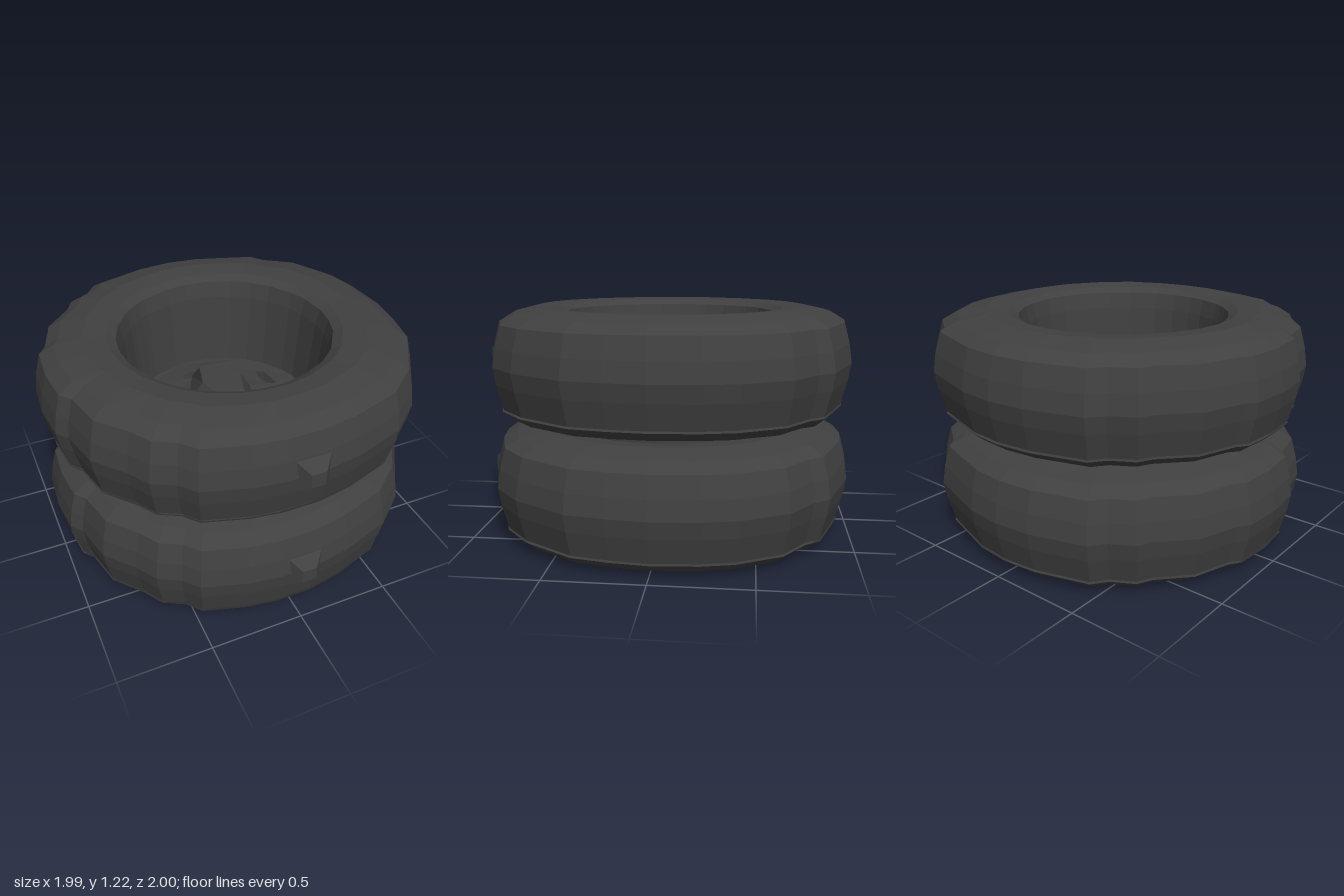
import * as THREE from 'three';

const rubber = new THREE.MeshStandardMaterial({ color: 0x404040, flatShading: true, side: THREE.DoubleSide });

// Uneven plan outline of the worn tread, as [x, z]
const OUTLINE = [
  [0.99, 0], [0.97, 0.2], [0.93, 0.4], [0.75, 0.68], [0.57, 0.83], [0.3, 0.92], [0.1, 0.955], [-0.1, 0.955],
  [-0.27, 0.93], [-0.5, 0.86], [-0.57, 0.78], [-0.68, 0.72], [-0.75, 0.61], [-0.88, 0.46], [-0.93, 0.25],
  [-0.98, 0.19], [-1, -0.02], [-0.985, -0.23], [-0.94, -0.29], [-0.87, -0.5], [-0.72, -0.66], [-0.68, -0.74],
  [-0.56, -0.81], [-0.5, -0.89], [-0.2, -0.98], [0, -1], [0.2, -0.98], [0.45, -0.9], [0.57, -0.86],
  [0.63, -0.78], [0.8, -0.66], [0.93, -0.42], [0.97, -0.25],
];

// Ring of a given radius: round near the bore, following the outline near the tread
function ring(r, y) {
  const t = THREE.MathUtils.clamp((r - 0.58) / 0.3, 0, 1);
  return OUTLINE.map(([x, z]) => {
    const k = THREE.MathUtils.lerp(1 / Math.hypot(x, z), 1, t) * r;
    return [x * k, y, z * k];
  });
}

// Skin a stack of closed rings
function loft(rings) {
  const n = rings[0].length, index = [];
  for (let j = 0; j < rings.length - 1; j++) {
    for (let i = 0; i < n; i++) {
      const a = j * n + i, b = j * n + (i + 1) % n;
      index.push(a, a + n, b, b, a + n, b + n);
    }
  }
  const geo = new THREE.BufferGeometry();
  geo.setAttribute('position', new THREE.Float32BufferAttribute(rings.flat(2), 3));
  geo.setIndex(index);
  geo.computeVertexNormals();
  return geo;
}

// Horizontal plate from [x, z] corners, with optional holes
function plate(points, y, holes = []) {
  const v = (list) => list.map(([x, z]) => new THREE.Vector2(x, -z));
  const shape = new THREE.Shape(v(points));
  shape.holes = holes.map((h) => new THREE.Path(v(h)));
  return new THREE.ShapeGeometry(shape).rotateX(-Math.PI / 2).translate(0, y, 0);
}

const flat = (points) => points.map(([x, , z]) => [x, z]);
const lift = (points, y) => points.map(([x, z]) => [x, y, z]);

function add(group, name, geometry) {
  const mesh = new THREE.Mesh(geometry, rubber);
  mesh.name = name;
  group.add(mesh);
  return mesh;
}

function makeTyre() {
  const tyre = new THREE.Group();

  // Tread, upper sidewall and bore
  const profile = [
    [0.95, 0.08], [0.985, 0.21], [1, 0.3], [0.985, 0.4], [0.955, 0.51], [0.88, 0.555], [0.74, 0.585],
    [0.62, 0.575], [0.57, 0.55], [0.55, 0.46], [0.51, 0.06],
  ];
  add(tyre, 'treadAndBore', loft(profile.map(([r, y]) => ring(r, y))));

  // Lower sidewall, set just below the tread, and its base with an angular opening
  add(tyre, 'lowerSidewall', loft([ring(0.75, 0), ring(0.9, 0.025), ring(0.955, 0.07)]));
  const opening = [[0.51, -0.23], [0.36, 0.4], [-0.3, 0.49], [-0.44, -0.3], [0.14, -0.57]];
  add(tyre, 'base', plate(flat(ring(0.75, 0)), 0, [opening]));

  // Wheel disc with three cut-outs around the hub
  const hubFoot = [[0.19, -0.07], [0.12, 0.17], [-0.13, 0.17], [-0.19, -0.07], [-0.08, -0.3], [0.1, -0.3]];
  const hubTop = [[0.12, -0.05], [0.07, 0.1], [-0.08, 0.1], [-0.11, -0.05], [-0.07, -0.2], [0.08, -0.2]];
  const cutouts = [
    [[-0.12, -0.37], [0.09, -0.405], [0.09, -0.305], [-0.12, -0.31]],
    [[0.3, -0.24], [0.35, -0.2], [0.36, -0.07], [0.28, -0.08]],
    [[-0.32, 0.14], [-0.17, 0.33], [-0.33, 0.34]],
  ];
  const disc = plate(flat(ring(0.51, 0)), 0, [hubFoot, ...cutouts]);
  const p = disc.attributes.position;
  for (let i = 0; i < p.count; i++) p.setY(i, 0.13 - 0.14 * Math.hypot(p.getX(i), p.getZ(i)));
  disc.computeVertexNormals();
  add(tyre, 'wheelDisc', disc);

  // Raised hub
  add(tyre, 'hubSides', loft([lift(hubFoot, 0.1), lift(hubTop, 0.22)]));
  add(tyre, 'hubCap', plate(hubTop, 0.22));

  // Small tread lug at the front
  const lug = new THREE.CylinderGeometry(0.055, 0.13, 0.06, 4, 1).rotateY(Math.PI / 4).rotateX(Math.PI / 2);
  add(tyre, 'treadLug', lug).position.set(0.03, 0.3, 0.97);
  return tyre;
}

export function createModel() {
  const model = new THREE.Group();
  model.name = 'tyreStack';
  ['lowerTyre', 'upperTyre'].forEach((name, i) => {
    const tyre = makeTyre();
    tyre.name = name;
    tyre.position.y = i * 0.63;
    model.add(tyre);
  });

  // Collar bridging the gap between the tyres
  add(model, 'collar', loft([ring(0.545, 0.54), ring(0.545, 0.64)]));
  return model;
}
